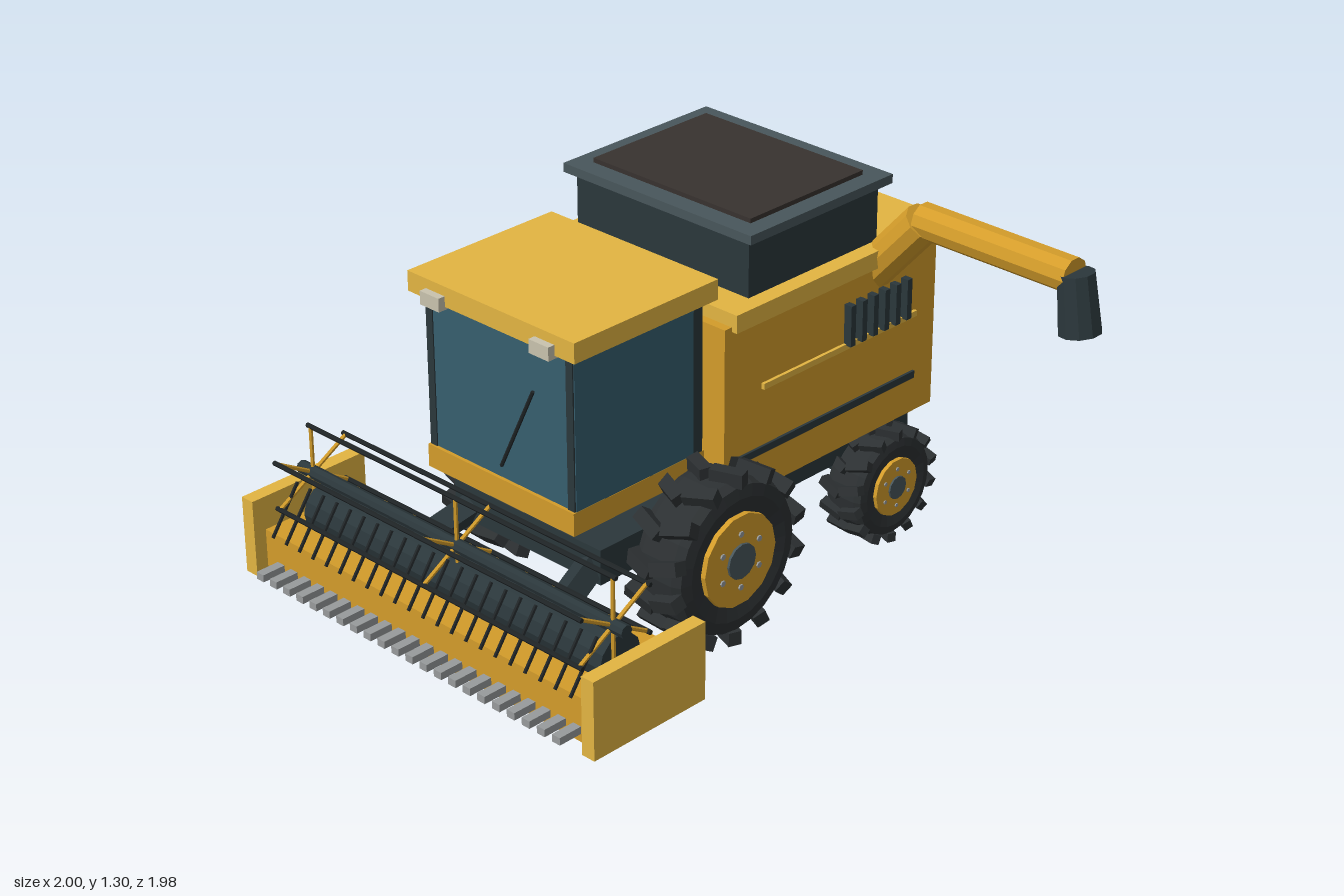
import * as THREE from 'three';

const mat = (color, extra = {}) => new THREE.MeshStandardMaterial({ color, flatShading: true, ...extra });
const M = {
  body: mat(0xd39c2a), trim: mat(0xe3b542), dark: mat(0x2b373b), rim: mat(0x48565b),
  tyre: mat(0x2c3032), glass: mat(0x365e6e), lid: mat(0x38322f), lamp: mat(0xc9c3ae),
  steel: mat(0x989b9c), black: mat(0x1f2426),
};

function add(parent, name, geo, material) {
  const m = new THREE.Mesh(geo, material);
  m.name = name;
  parent.add(m);
  return m;
}

// Box given by its extents on each axis
function box(parent, name, material, [x0, x1], [y0, y1], [z0, z1]) {
  const m = add(parent, name, new THREE.BoxGeometry(x1 - x0, y1 - y0, z1 - z0), material);
  m.position.set((x0 + x1) / 2, (y0 + y1) / 2, (z0 + z1) / 2);
  return m;
}
const wide = (parent, name, material, h, y, z) => box(parent, name, material, [-h, h], y, z);

// Cylinder or square bar between two points
function rod(parent, name, material, a, b, r0, r1 = r0, sides = 10) {
  const p = new THREE.Vector3(...a), q = new THREE.Vector3(...b);
  const d = q.clone().sub(p);
  const m = add(parent, name, new THREE.CylinderGeometry(r1, r0, d.length(), sides), material);
  m.position.copy(p).add(q).multiplyScalar(0.5);
  m.quaternion.setFromUnitVectors(new THREE.Vector3(0, 1, 0), d.normalize());
  return m;
}

// Wheel on the x axis with chevron lugs, disc, hub and bolts
function wheel(parent, name, x, z, R, width, discR, hubR, boltR, lugs) {
  const g = new THREE.Group();
  g.name = name;
  g.position.set(x, R, z);
  parent.add(g);
  const w = width / 2, r = R * 0.88;
  const profile = [[discR * 0.9, -w * 0.8], [r * 0.8, -w * 0.95], [r * 0.95, -w * 0.88], [r, -w * 0.6],
    [r, w * 0.6], [r * 0.95, w * 0.88], [r * 0.8, w * 0.95], [discR * 0.9, w * 0.8]]
    .map(([a, b]) => new THREE.Vector2(a, b));
  add(g, 'tyre', new THREE.LatheGeometry(profile, 24), M.tyre).rotation.z = -Math.PI / 2;
  const lugGeo = new THREE.BoxGeometry(w * 1.02, R * 0.16, R * 0.15);
  for (let i = 0; i < lugs; i++) {
    for (const s of [-1, 1]) {
      const spin = new THREE.Group();
      spin.rotation.x = ((i + (s > 0 ? 0 : 0.15)) / lugs) * Math.PI * 2;
      const lug = add(spin, 'treadLug', lugGeo, M.tyre);
      lug.position.set(s * w * 0.5, R * 0.915, 0);
      lug.rotation.y = s * 0.35;
      g.add(spin);
    }
  }
  rod(g, 'wheelDisc', M.body, [-w, 0, 0], [w, 0, 0], discR, discR, 14);
  rod(g, 'hub', M.rim, [-w * 1.08, 0, 0], [w * 1.08, 0, 0], hubR, hubR, 12);
  for (let i = 0; i < 6; i++) {
    const a = (i / 6) * Math.PI * 2, y = Math.cos(a) * boltR, bz = Math.sin(a) * boltR;
    rod(g, 'bolt', M.steel, [-w * 1.05, y, bz], [w * 1.05, y, bz], R * 0.035, R * 0.035, 6);
  }
}

function buildBody(root) {
  const g = new THREE.Group();
  g.name = 'body';
  root.add(g);
  wide(g, 'chassis', M.dark, 0.32, [0.3, 0.42], [-0.945, 0.47]);
  wide(g, 'bodyShell', M.body, 0.402, [0.42, 1.02], [-0.957, 0.02]);
  wide(g, 'bodyCap', M.trim, 0.423, [1.005, 1.065], [-0.993, -0.01]);
  wide(g, 'grainTank', M.dark, 0.365, [1.06, 1.26], [-0.707, -0.122]);
  wide(g, 'tankRim', M.rim, 0.397, [1.258, 1.288], [-0.738, -0.095]);
  wide(g, 'tankLid', M.lid, 0.333, [1.285, 1.303], [-0.67, -0.163]);
  for (const s of [-1, 1]) {
    const side = (name, m, d, y, z) => box(g, name, m, s > 0 ? [0.395, d] : [-d, -0.395], y, z);
    side('sideGroove', M.dark, 0.411, [0.545, 0.57], [-0.86, -0.03]);
    side('sideTrim', M.trim, 0.413, [0.765, 0.785], [-0.86, -0.145]);
    for (let i = 0; i < 6; i++) {
      const z = -0.532 - i * 0.0535;
      side('ventSlat', M.dark, 0.431, [0.78, 0.92], [z - 0.011, z + 0.011]);
    }
  }
}

function buildCab(root) {
  const g = new THREE.Group();
  g.name = 'cab';
  root.add(g);
  wide(g, 'cabBase', M.body, 0.318, [0.51, 0.587], [0.0, 0.575]);
  wide(g, 'cabGlass', M.glass, 0.29, [0.585, 1.105], [0.04, 0.563]);
  wide(g, 'cabRoof', M.trim, 0.355, [1.1, 1.167], [0.0, 0.597]);
  for (const s of [-1, 1]) {
    const span = (a, b) => (s > 0 ? [a, b] : [-b, -a]);
    box(g, 'frontPost', M.dark, span(0.286, 0.314), [0.585, 1.1], [0.53, 0.567]);
    box(g, 'rearPost', M.dark, span(0.286, 0.318), [0.585, 1.1], [0.028, 0.066]);
    box(g, 'sidePane', M.glass, span(0.28, 0.317), [0.587, 1.1], [0.066, 0.562]);
    box(g, 'headlamp', M.lamp, span(0.192, 0.274), [1.09, 1.135], [0.58, 0.622]);
  }
  rod(g, 'wiper', M.black, [0.005, 0.63, 0.57], [0.15, 0.93, 0.57], 0.006, 0.006, 6);
}

function buildUnloader(root) {
  const g = new THREE.Group();
  g.name = 'unloadingAuger';
  root.add(g);
  const z = -0.717;
  rod(g, 'augerRiser', M.body, [0.34, 0.945, z + 0.012], [0.545, 1.18, z], 0.066, 0.066);
  rod(g, 'augerTube', M.body, [0.54, 1.185, z], [1.125, 1.185, z], 0.058, 0.058);
  rod(g, 'augerSpout', M.dark, [1.13, 1.2, z], [1.158, 1.01, z], 0.059, 0.068);
}

function buildHeader(root) {
  const g = new THREE.Group();
  g.name = 'header';
  root.add(g);
  wide(g, 'headerTrough', M.body, 0.73, [0.11, 0.26], [0.515, 0.905]);
  rod(g, 'crossAuger', M.dark, [-0.655, 0.3, 0.722], [0.655, 0.3, 0.722], 0.083, 0.083, 12);
  for (const s of [-1, 1]) {
    box(g, 'endPlate', M.trim, s > 0 ? [0.725, 0.775] : [-0.775, -0.725], [0.11, 0.375], [0.493, 0.95]);
    rod(g, 'feederArm', M.dark, [s * 0.25, 0.36, 0.4], [s * 0.305, 0.27, 0.65], 0.05, 0.05, 4);
  }
  // Reel: shaft, six bars on spoked stars
  const cy = 0.43, cz = 0.755, R = 0.16;
  rod(g, 'reelShaft', M.dark, [-0.715, cy, cz], [0.715, cy, cz], 0.022, 0.022, 8);
  for (let i = 0; i < 6; i++) {
    const a = (i / 6) * Math.PI * 2, y = cy + R * Math.cos(a), z = cz + R * Math.sin(a);
    rod(g, 'reelBar', M.black, [-0.675, y, z], [0.675, y, z], 0.008, 0.008, 6);
    for (const x of [-0.66, 0, 0.66]) rod(g, 'reelSpoke', M.body, [x, cy, cz], [x, y, z], 0.007, 0.007, 6);
  }
  // Reel tines and cutter fingers
  for (let i = 0; i < 22; i++) {
    const x = -0.659 + i * 0.0628;
    rod(g, 'reelTine', M.black, [x, 0.42, 0.82], [x, 0.265, 0.93], 0.006, 0.006, 5);
    box(g, 'cutterFinger', M.steel, [x - 0.016, x + 0.016], [0.138, 0.163], [0.9, 0.99]);
  }
}

export function createModel() {
  const model = new THREE.Group();
  model.name = 'combineHarvester';
  // The machine's own centre line sits beside the overhanging auger
  const root = new THREE.Group();
  root.name = 'machine';
  root.position.x = -0.225;
  model.add(root);
  buildBody(root);
  buildCab(root);
  buildUnloader(root);
  buildHeader(root);
  for (const s of [-1, 1]) {
    wheel(root, 'frontWheel', s * 0.41, 0.067, 0.297, 0.215, 0.157, 0.06, 0.093, 14);
    wheel(root, 'rearWheel', s * 0.365, -0.75, 0.2, 0.16, 0.1, 0.04, 0.066, 14);
  }
  rod(root, 'frontAxle', M.dark, [-0.4, 0.297, 0.067], [0.4, 0.297, 0.067], 0.05);
  rod(root, 'rearAxle', M.dark, [-0.36, 0.2, -0.75], [0.36, 0.2, -0.75], 0.035);
  return model;
}
